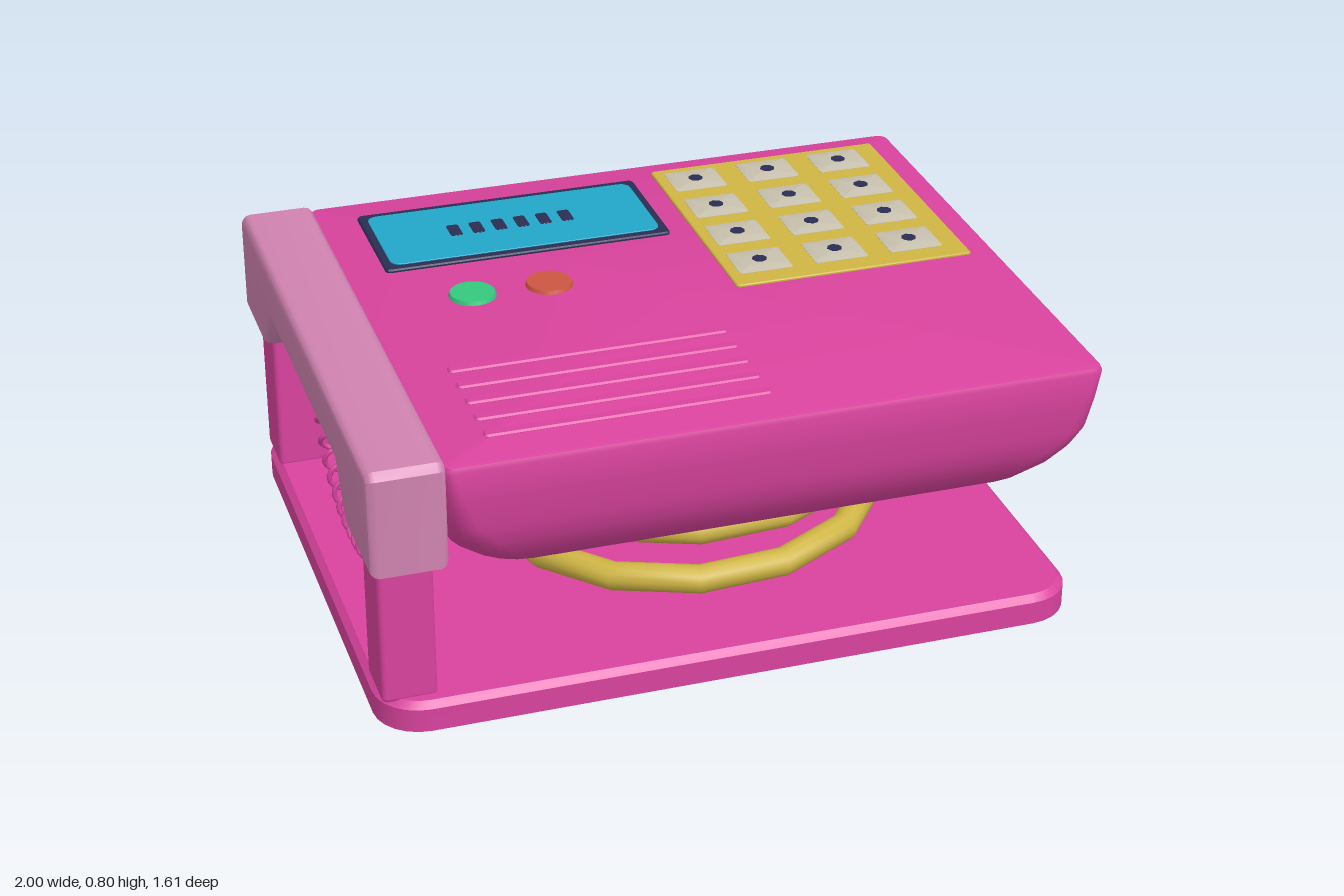
import * as THREE from 'three';
import { toCreasedNormals } from 'three/addons/utils/BufferGeometryUtils.js';
import { RoundedBoxGeometry } from 'three/addons/geometries/RoundedBoxGeometry.js';

const paint = (name, color) => Object.assign(new THREE.MeshStandardMaterial({ color }), { name });

// Stack of rounded rectangles; levels are [y, halfWidth, halfDepth, cornerRadius], bottom to top.
function loft(levels, steps = 6) {
  const pos = [], idx = [];
  const n = 4 * (steps + 1);
  for (const [y, w, d, r] of levels) {
    for (let c = 0; c < 4; c++) {
      const sx = c === 0 || c === 3 ? 1 : -1, sz = c < 2 ? 1 : -1;
      for (let s = 0; s <= steps; s++) {
        const a = (c + s / steps) * Math.PI / 2;
        pos.push(sx * (w - r) + r * Math.cos(a), y, sz * (d - r) + r * Math.sin(a));
      }
    }
  }
  const last = (levels.length - 1) * n, bottom = levels.length * n, top = bottom + 1;
  pos.push(0, levels[0][0], 0, 0, levels[levels.length - 1][0], 0);
  for (let j = 0; j < n; j++) {
    const k = (j + 1) % n;
    for (let i = 0; i < last; i += n) idx.push(i + j, i + n + j, i + k, i + k, i + n + j, i + n + k);
    idx.push(bottom, j, k, top, last + k, last + j);
  }
  const g = new THREE.BufferGeometry();
  g.setAttribute('position', new THREE.Float32BufferAttribute(pos, 3));
  g.setIndex(idx);
  return toCreasedNormals(g, 0.6);
}

// Curve described by a function of t in 0..1
class RuleCurve extends THREE.Curve {
  constructor(rule) { super(); this.rule = rule; }
  getPoint(t, target = new THREE.Vector3()) { return target.copy(this.rule(t)); }
}

export function createModel() {
  const model = new THREE.Group();
  const pink = paint('pink', 0xd9439d), pale = paint('palePink', 0xd083b0);
  const yellow = paint('yellow', 0xcfb544), navy = paint('navy', 0x2a2d52);
  const cyan = paint('cyan', 0x22a6c9), green = paint('green', 0x35c77c);
  const red = paint('orangeRed', 0xcb5642), beige = paint('beige', 0xc8c1ae);
  const grey = paint('grey', 0xa8a8a8);

  const add = (name, geo, mat, x = 0, y = 0, z = 0, parent = model) => {
    const m = new THREE.Mesh(geo, mat);
    m.name = name;
    m.position.set(x, y, z);
    parent.add(m);
    return m;
  };
  const group = (name) => {
    const g = new THREE.Group();
    g.name = name;
    model.add(g);
    return g;
  };
  const slab = (w, d, h, r, bevel) => loft([[0, w / 2, d / 2, r], [h - bevel, w / 2, d / 2, r],
    [h, w / 2 - bevel, d / 2 - bevel, Math.max(r - bevel, 0.001)]]);

  // Base plate and the two posts holding the handset
  add('base', slab(1.96, 1.56, 0.085, 0.13, 0.018), pink);
  for (const s of [1, -1])
    add('handsetPost', new RoundedBoxGeometry(0.15, 0.44, 0.17, 2, 0.015), pink, -0.895, 0.295, s * 0.65);

  // Body with rounded underside
  add('body', loft([
    [0.395, 0.765, 0.64, 0.16], [0.425, 0.815, 0.7, 0.17], [0.475, 0.853, 0.742, 0.15],
    [0.53, 0.875, 0.772, 0.12], [0.59, 0.888, 0.787, 0.08], [0.68, 0.895, 0.794, 0.05],
    [0.768, 0.9, 0.8, 0.03], [0.781, 0.895, 0.795, 0.027], [0.785, 0.882, 0.782, 0.02],
  ]), pink, 0.1);

  // Coil spring: flat half turns at both ends, caps facing the front
  const spring = group('spring');
  spring.position.set(0.0875, 0, 0);
  const springAt = (t) => {
    const turns = t * 2.5, a = turns * Math.PI * 2;
    const rise = THREE.MathUtils.clamp((turns - 0.5) / 1.5, 0, 1);
    return new THREE.Vector3(0.538 * Math.cos(a), 0.126 + 0.233 * rise, -0.538 * Math.sin(a));
  };
  add('springCoil', new THREE.TubeGeometry(new RuleCurve(springAt), 35, 0.04, 12), yellow, 0, 0, 0, spring);
  for (const t of [0, 1]) {
    const p = springAt(t);
    add('springEnd', new THREE.CircleGeometry(0.04, 12), yellow, p.x, p.y, p.z + 0.001, spring);
  }

  // Handset: arched side profile with thick ends
  const b = 0.025, profile = new THREE.Shape();
  [[-0.8, 0.5], [-0.54, 0.5], [-0.5, 0.52], [-0.42, 0.64], [0.42, 0.64], [0.5, 0.52], [0.54, 0.5],
    [0.8, 0.5], [0.8, 0.78], [0.78, 0.8], [-0.78, 0.8], [-0.8, 0.78]]
    .forEach(([z, y], i) => (i ? profile.lineTo(z, y) : profile.moveTo(z, y)));
  profile.closePath();
  const handset = new THREE.ExtrudeGeometry(profile, {
    depth: 0.21 - 2 * b, bevelSize: b, bevelThickness: b, bevelOffset: -b, bevelSegments: 3,
  });
  handset.translate(0, 0, -0.105 + b).rotateY(Math.PI / 2);
  add('handset', toCreasedNormals(handset, 0.6), pale, -0.895);

  // Curly cord hanging between the handset ends
  const hang = new THREE.CatmullRomCurve3([
    [0.3, 0.64], [0.32, 0.45], [0.29, 0.3], [0.18, 0.2], [0, 0.15], [-0.2, 0.165],
    [-0.36, 0.24], [-0.43, 0.36], [-0.45, 0.5], [-0.45, 0.64],
  ].map(([z, y]) => new THREE.Vector3(-0.85, y, z)));
  const cord = new RuleCurve((t) => {
    const p = hang.getPointAt(t), tan = hang.getTangentAt(t);
    const a = t * 24 * Math.PI * 2, r = 0.034;
    p.x += r * Math.cos(a);
    p.y += r * Math.sin(a) * tan.z;
    p.z -= r * Math.sin(a) * tan.y;
    return p;
  });
  add('cord', new THREE.TubeGeometry(cord, 300, 0.008, 6), pink);

  // Display
  const display = group('display');
  add('displayFrame', slab(0.835, 0.375, 0.012, 0.015, 0.004), navy, -0.2625, 0.782, -0.5025, display);
  add('displayScreen', slab(0.79, 0.325, 0.004, 0.03, 0.001), cyan, -0.2625, 0.793, -0.5025, display);
  for (let i = 0; i < 6; i++)
    add('displayMark', slab(0.035, 0.07, 0.002, 0.008, 0.0005), navy, -0.435 + i * 0.066, 0.7965, -0.505, display);

  // Keypad with three by four keys
  const keypad = group('keypad');
  add('keypadPlate', slab(0.7, 0.795, 0.01, 0.01, 0.003), yellow, 0.575, 0.782, -0.3325, keypad);
  const keyGeo = loft([[0, 0.078, 0.067, 0.006], [0.003, 0.078, 0.067, 0.006], [0.009, 0.063, 0.053, 0.004]], 2);
  const dotGeo = new THREE.CylinderGeometry(0.022, 0.022, 0.002, 8);
  for (let row = 0; row < 4; row++) {
    for (let col = 0; col < 3; col++) {
      const x = 0.335 + col * 0.225, z = -0.635 + row * 0.19;
      add('key', keyGeo, beige, x, 0.79, z, keypad);
      add('keyDot', dotGeo, navy, x, 0.799, z, keypad);
    }
  }

  // Round buttons on top
  const buttonGeo = new THREE.CylinderGeometry(0.063, 0.068, 0.014, 24);
  add('greenButton', buttonGeo, green, -0.485, 0.789, -0.115);
  add('redButton', buttonGeo, red, -0.265, 0.789, -0.115);

  // Speaker ridges
  for (let i = 0; i < 5; i++)
    add('speakerRidge', slab(0.775, 0.034, 0.01, 0.01, 0.005), pink, -0.2725, 0.781, 0.295 + i * 0.09);

  // Label plate and round button on the back
  const back = group('backPanel');
  back.position.set(0, 0.65, -0.794);
  back.rotation.x = -0.06;
  add('labelPlate', new THREE.BoxGeometry(0.56, 0.13, 0.009), grey, 0.055, 0, 0, back);
  for (const x of [0.08, 0.03])
    add('labelDot', new THREE.CylinderGeometry(0.018, 0.018, 0.002, 8).rotateX(Math.PI / 2), navy, x, 0, -0.005, back);
  add('backButton', new THREE.CylinderGeometry(0.064, 0.064, 0.02, 24).rotateX(Math.PI / 2), red, -0.44, 0, 0, back);

  return model;
}
